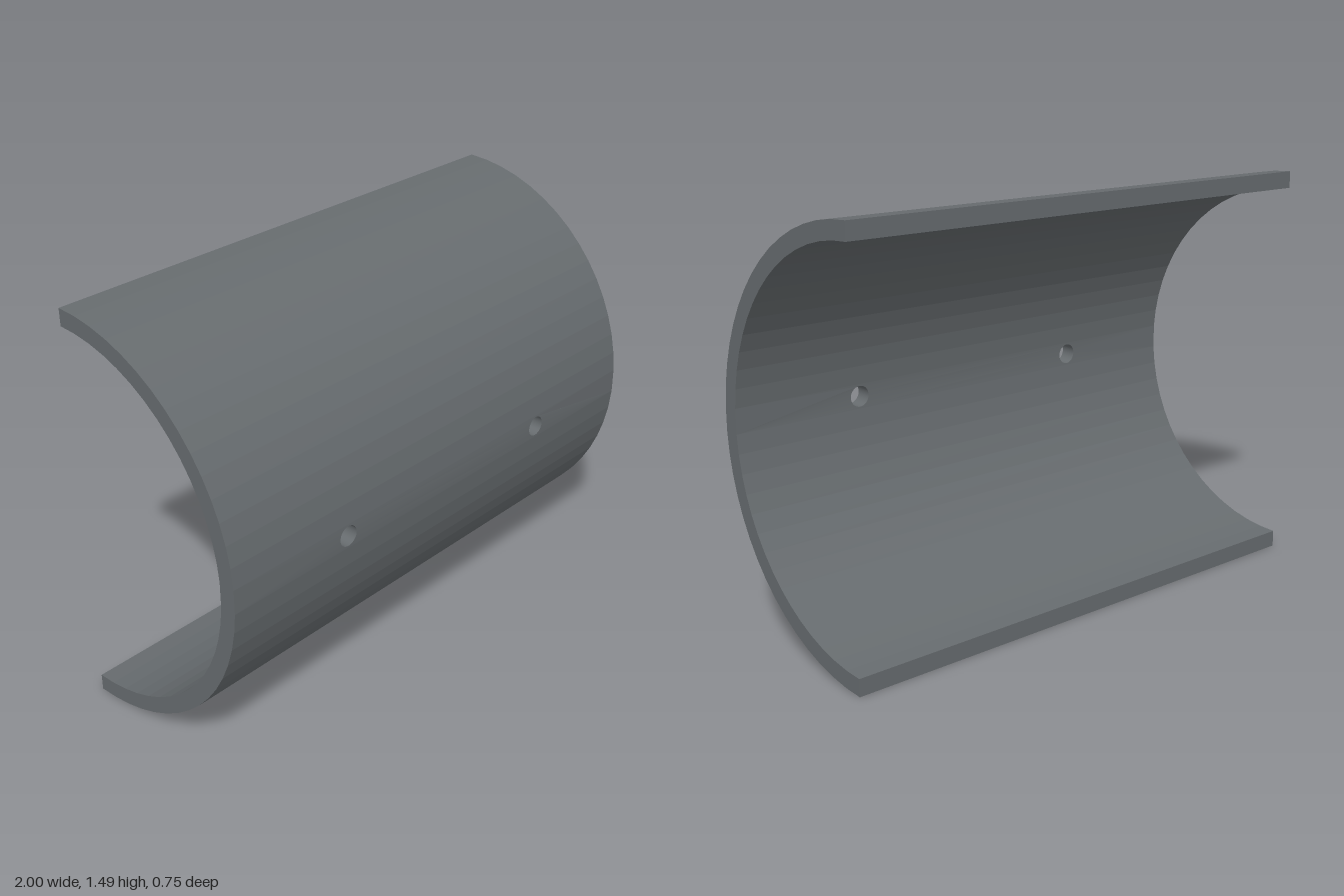
import * as THREE from 'three';

const OUTER = 0.745, INNER = 0.683;   // shell radii
const LENGTH = 2, HOLE_R = 0.038, HOLE_X = 0.5;
const BAND = 0.045;                   // half height of the drilled strip
const STEPS = 15;                     // facets per quarter turn

// Removes the hidden faces where the strip meets the curved walls
function openSeams(geometry) {
  const p = geometry.attributes.position, kept = [];
  for (let i = 0; i < p.count; i += 3) {
    const onSeam = [1, -1].some(s => [0, 1, 2].every(k => Math.abs(p.getY(i + k) - s * BAND) < 1e-5));
    if (onSeam) continue;
    for (let k = 0; k < 3; k++) kept.push(p.getX(i + k), p.getY(i + k), p.getZ(i + k));
  }
  const result = new THREE.BufferGeometry();
  result.setAttribute('position', new THREE.Float32BufferAttribute(kept, 3));
  result.computeVertexNormals();
  return result;
}

// Curved wall from the drilled strip to the rim; side is 1 (upper) or -1 (lower)
function wallGeometry(side) {
  const arc = r => {
    const start = Math.asin(BAND / r);
    return Array.from({ length: STEPS + 1 }, (_, i) => {
      const a = start + (Math.PI / 2 - start) * i / STEPS;
      return new THREE.Vector2(-r * Math.cos(a), side * r * Math.sin(a));
    });
  };
  const profile = new THREE.Shape([...arc(OUTER), ...arc(INNER).reverse()]);
  const geometry = new THREE.ExtrudeGeometry(profile, { depth: LENGTH, bevelEnabled: false });
  geometry.translate(0, 0, -LENGTH / 2).rotateY(Math.PI / 2);
  return openSeams(geometry);
}

// Strip with two through holes, its faces moved onto the shell radii
function stripGeometry() {
  const L = LENGTH / 2;
  const shape = new THREE.Shape([[-L, -BAND], [L, -BAND], [L, BAND], [-L, BAND]].map(c => new THREE.Vector2(...c)));
  for (const x of [-HOLE_X, HOLE_X]) {
    shape.holes.push(new THREE.Path().absarc(x, 0, HOLE_R, 0, Math.PI * 2, true));
  }
  const geometry = new THREE.ExtrudeGeometry(shape, { depth: 1, bevelEnabled: false, curveSegments: 28 });
  const p = geometry.attributes.position;
  for (let i = 0; i < p.count; i++) {
    const r = p.getZ(i) > 0.5 ? OUTER : INNER;
    p.setZ(i, Math.sqrt(r * r - p.getY(i) ** 2));
  }
  return openSeams(geometry);
}

export function createModel() {
  const group = new THREE.Group();
  group.name = 'halfPipeShell';
  const darkGrey = new THREE.MeshStandardMaterial({ color: 0x666b6e });
  darkGrey.name = 'darkGrey';

  const add = (name, geometry) => {
    const mesh = new THREE.Mesh(geometry, darkGrey);
    mesh.name = name;
    mesh.position.set(0, OUTER, -OUTER / 2);
    group.add(mesh);
  };
  add('upperWall', wallGeometry(1));
  add('lowerWall', wallGeometry(-1));
  add('drilledStrip', stripGeometry());
  return group;
}
